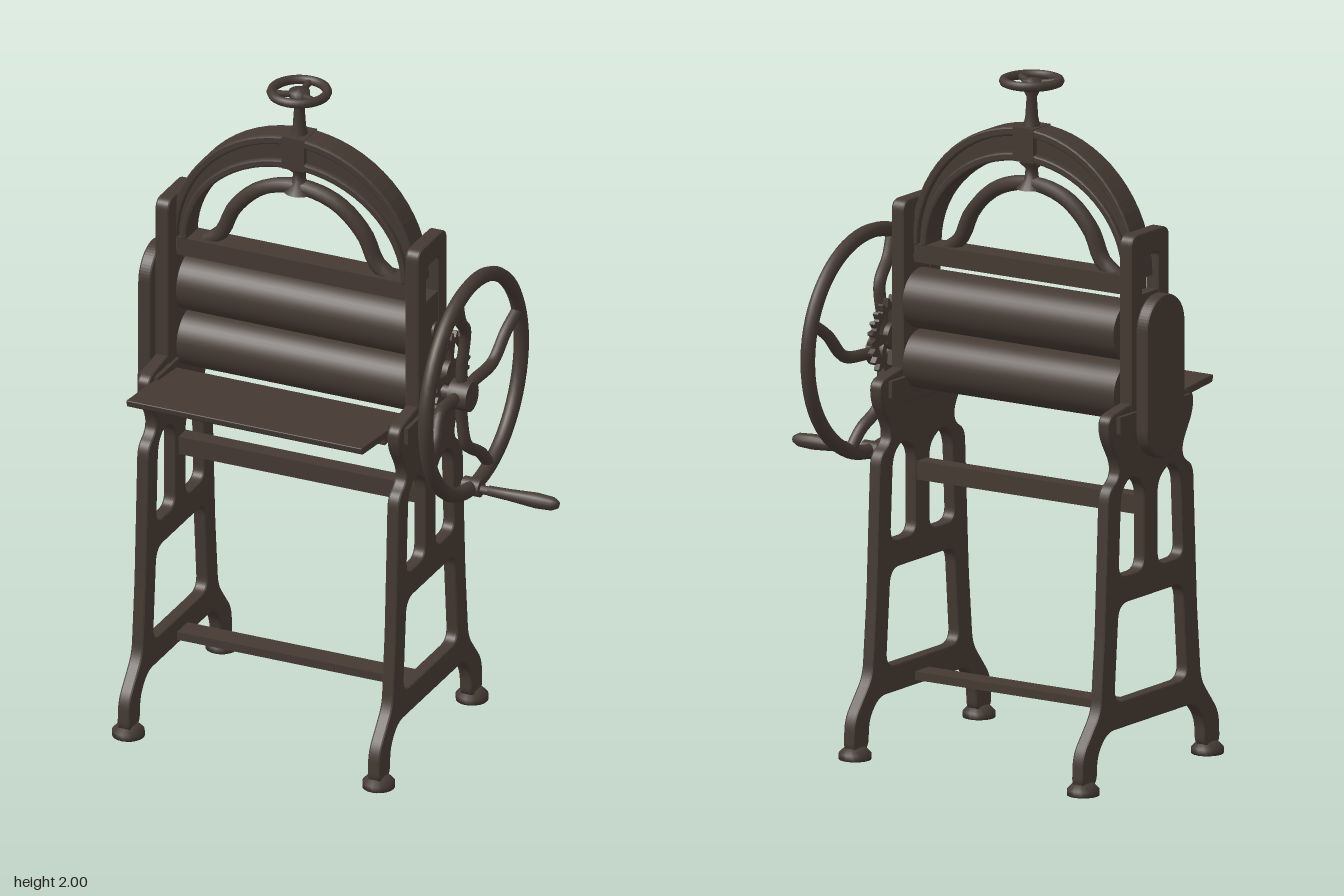
import * as THREE from 'three';

const iron = new THREE.MeshStandardMaterial({ color: 0x453a33 });
iron.name = 'dark cast iron';

const MID = -0.175; // middle of the frame along x
const Z0 = -0.01; // middle of the uprights along z

export function createModel() {
  const root = new THREE.Group();
  root.name = 'mangle';

  const add = (name, geo, x = 0, y = 0, z = 0, parent = root) => {
    const m = new THREE.Mesh(geo, iron);
    m.name = name;
    m.position.set(x, y, z);
    parent.add(m);
    return m;
  };
  const box = (name, w, h, d, x, y, z, parent) => add(name, new THREE.BoxGeometry(w, h, d), x, y, z, parent);
  const rodX = (name, r, len, x, y, z, parent, sides = 32) =>
    add(name, new THREE.CylinderGeometry(r, r, len, sides).rotateZ(Math.PI / 2), x, y, z, parent);
  const tube = (name, pts, r, x, y, z, parent) =>
    add(name, new THREE.TubeGeometry(new THREE.CatmullRomCurve3(pts.map(p => new THREE.Vector3(...p))), 28, r, 8), x, y, z, parent);

  // extrusion centred on its thickness, with a small bevel
  const plate = (shape, t, bevel = 0.006) => new THREE.ExtrudeGeometry(shape, {
    depth: t - 2 * bevel, bevelEnabled: bevel > 0, bevelSize: bevel, bevelThickness: bevel,
    bevelOffset: -bevel, bevelSegments: 2, curveSegments: 16,
  }).translate(0, 0, -t / 2 + bevel);
  // same, with shape x running along world z
  const sidePlate = (shape, t, bevel) => plate(shape, t, bevel).rotateY(-Math.PI / 2);

  // polygon with rounded corners
  const rounded = (pts, r, Kind = THREE.Shape) => {
    const s = new Kind();
    const v = pts.map(p => new THREE.Vector2(...p));
    v.forEach((p, i) => {
      const a = v[(i + v.length - 1) % v.length], b = v[(i + 1) % v.length];
      const toward = q => p.clone().lerp(q, Math.min(0.45, r / p.distanceTo(q)));
      const s0 = toward(a), s1 = toward(b);
      if (i) s.lineTo(s0.x, s0.y); else s.moveTo(s0.x, s0.y);
      s.quadraticCurveTo(p.x, p.y, s1.x, s1.y);
    });
    s.closePath();
    return s;
  };
  const mirrored = half => [...half, ...half.slice().reverse().map(([x, y]) => [-x, y])];

  // ---- side frames: splayed legs, flared saddle and slotted upright ----
  const legHalf = [[0.275, 0.02], [0.35, 0.02], [0.345, 0.12], [0.255, 0.23], [0.235, 0.45], [0.215, 0.87],
    [0.165, 0.9], [0.16, 0.94], [0.215, 1.03], [0.215, 1.09], [0.1, 1.11]];
  const outline = [...mirrored(legHalf), [-0.23, 0.165], [0.23, 0.165]];
  // close the underside between the feet
  outline.splice(outline.length - 2, 2);
  outline.push([-0.27, 0.11], [-0.22, 0.165], [0.22, 0.165], [0.27, 0.11]);
  const legShape = rounded(outline, 0.035);
  legShape.holes.push(
    rounded([[-0.185, 0.245], [0.185, 0.245], [0.162, 0.53], [-0.162, 0.53]], 0.045, THREE.Path),
    ...[1, -1].map(s => rounded([[0.035, 0.61], [0.163, 0.61], [0.15, 0.86], [0.1, 0.9], [0.035, 0.86]]
      .map(([z, y]) => [s * z, y]), 0.04, THREE.Path)));
  const upright = rounded([[-0.095, 1.0], [0.095, 1.0], [0.095, 1.6], [-0.095, 1.6]], 0.035);
  upright.holes.push(rounded([[-0.042, 1.15], [0.042, 1.15], [0.042, 1.53], [-0.042, 1.53]], 0.012, THREE.Path));
  const foot = new THREE.LatheGeometry([[0, 0], [0.047, 0], [0.047, 0.018], [0.03, 0.035], [0, 0.04]]
    .map(p => new THREE.Vector2(...p)), 20);

  for (const [side, x] of [['right', -0.565], ['left', 0.225]]) {
    const f = new THREE.Group();
    f.name = side + 'SideFrame';
    root.add(f);
    add('legs', sidePlate(legShape, 0.04), x, 0, -0.003, f);
    add('upright', sidePlate(upright, 0.045), x, 0, Z0, f);
    box('upperBearing', 0.036, 0.22, 0.086, x, 1.31, Z0, f);
    box('lowerBearing', 0.036, 0.1, 0.086, x, 1.16, Z0, f);
    box('saddleLedge', 0.065, 0.05, 0.36, x, 1.06, 0, f);
    for (const z of [0.31, -0.32]) add('foot', foot, x, 0, z, f);
  }

  // ---- cross members ----
  box('middleStretcher', 0.76, 0.055, 0.05, MID + 0.005, 0.795, Z0);
  box('lowerStretcher', 0.76, 0.025, 0.07, MID + 0.005, 0.193, Z0);
  box('pressureBar', 0.75, 0.055, 0.08, MID + 0.005, 1.438, Z0);

  // ---- top arch: thin web with a raised rim on each edge ----
  const band = (ox, oy, ix, iy) => {
    const s = new THREE.Shape();
    s.absellipse(0, 0, ox, oy, 0, Math.PI, false);
    s.absellipse(0, 0, ix, iy, Math.PI, 0, true);
    s.closePath();
    return s;
  };
  add('archWeb', plate(band(0.388, 0.39, 0.345, 0.3), 0.055, 0), MID, 1.46, Z0);
  add('archOuterRim', plate(band(0.392, 0.395, 0.368, 0.368), 0.085), MID, 1.46, Z0);
  add('archInnerRim', plate(band(0.358, 0.32, 0.338, 0.295), 0.085), MID, 1.46, Z0);

  // ---- sprung inner bow ----
  const bowHalf = [[-0.29, 1.455], [-0.245, 1.49], [-0.205, 1.575], [-0.12, 1.655]];
  const bow = tube('innerBow', [...bowHalf, [0, 1.685], ...bowHalf.slice().reverse().map(([x, y]) => [-x, y])]
    .map(([x, y]) => [x, y, 0]), 0.022, MID, 0, Z0);
  bow.scale.z = 1.3;
  add('bowStem', new THREE.LatheGeometry([[0.045, 1.67], [0.02, 1.705], [0.018, 1.73], [0.035, 1.745], [0.035, 1.77]]
    .map(p => new THREE.Vector2(...p)), 16), MID, 0, Z0);

  // ---- pressure screw and hand wheel ----
  box('screwBoss', 0.07, 0.1, 0.09, MID, 1.805, Z0);
  add('screw', new THREE.LatheGeometry([[0.028, 1.84], [0.019, 1.88], [0.015, 1.94], [0.03, 1.97], [0.03, 1.99], [0, 1.995]]
    .map(p => new THREE.Vector2(...p)), 16), MID, 0, Z0);
  const rim = add('handWheelRim', new THREE.TorusGeometry(0.08, 0.014, 8, 36).rotateX(Math.PI / 2), MID, 1.986, Z0);
  rim.scale.y = 1;
  for (let i = 0; i < 3; i++) {
    const a = 0.5 + i * Math.PI * 2 / 3;
    tube('handWheelSpoke', [[0, 1.978, 0], [Math.cos(a) * 0.08, 1.985, Math.sin(a) * 0.08]], 0.01, MID, 0, Z0);
  }

  // ---- rollers ----
  for (const [name, y, r] of [['upperRoller', 1.305, 0.088], ['lowerRoller', 1.127, 0.086]]) {
    rodX(name, r, 0.73, -0.17, y, -0.035, root, 40);
    rodX(name + 'Axle', 0.025, 0.84, -0.17, y, -0.03);
  }

  // ---- feed tray ----
  const tray = rounded([[0.05, 1.04], [0.37, 1.075], [0.375, 1.097], [0.3, 1.09], [0.05, 1.062]], 0.006);
  add('feedTray', sidePlate(tray, 0.745, 0.003), -0.17, 0, 0);
  box('trayBatten', 0.74, 0.035, 0.03, -0.17, 1.055, 0.2);

  // ---- gear guard on the right end ----
  const guard = new THREE.Shape();
  guard.absarc(0, 1.325, 0.095, 0, Math.PI, false);
  guard.absarc(0, 1.035, 0.095, Math.PI, Math.PI * 2, false);
  guard.closePath();
  add('gearGuard', sidePlate(guard, 0.042), -0.621, 0, Z0);

  // ---- drive gear ----
  const gear = new THREE.Shape();
  const teeth = 24;
  for (let i = 0; i < teeth * 4; i++) {
    const a = i / (teeth * 4) * Math.PI * 2, r = i % 4 < 2 ? 0.12 : 0.103;
    gear[i ? 'lineTo' : 'moveTo'](Math.cos(a) * r, Math.sin(a) * r);
  }
  for (let i = 0; i < 4; i++) {
    const a = i * Math.PI / 2 + 0.2, b = a + 1.15, h = new THREE.Path();
    h.absarc(0, 0, 0.085, a, b, false);
    h.absarc(0, 0, 0.04, b, a, true);
    h.closePath();
    gear.holes.push(h);
  }
  add('driveGear', sidePlate(gear, 0.018, 0), 0.288, 1.18, -0.035);

  // ---- crank wheel with S-shaped spokes ----
  const wheel = new THREE.Group();
  wheel.name = 'crankWheel';
  wheel.position.set(0.363, 1.155, -0.035);
  root.add(wheel);
  add('wheelRim', new THREE.TorusGeometry(0.323, 0.022, 10, 64).rotateY(Math.PI / 2), 0, 0, 0, wheel);
  rodX('wheelHub', 0.045, 0.06, -0.025, -0.03, 0.02, wheel);
  rodX('wheelAxle', 0.025, 0.16, -0.075, -0.03, 0.02, wheel);
  for (let i = 0; i < 4; i++) {
    const a = 0.3 + i * Math.PI / 2;
    // spoke points as radius, swing angle and dish along x
    tube('wheelSpoke', [[0.0, 0, -0.03], [0.08, -0.3, -0.03], [0.18, -0.28, -0.02], [0.25, -0.02, -0.008], [0.32, 0.04, 0]]
      .map(([r, t, x]) => {
        const k = 1 - r / 0.32;
        return [x, Math.sin(a + t) * r - 0.03 * k, -Math.cos(a + t) * r + 0.02 * k];
      }), 0.018, 0, 0, 0, wheel);
  }

  // ---- crank handle ----
  rodX('handlePin', 0.013, 0.12, 0.405, 0.828, -0.03, root, 12);
  rodX('handleBoss', 0.027, 0.055, 0.363, 0.832, -0.03, root, 16);
  add('handleGrip', new THREE.LatheGeometry([[0, 0], [0.015, 0], [0.017, 0.06], [0.023, 0.15], [0.02, 0.2], [0.011, 0.218], [0, 0.22]]
    .map(p => new THREE.Vector2(...p)), 16).rotateZ(-Math.PI / 2), 0.415, 0.829, -0.03);

  return root;
}
